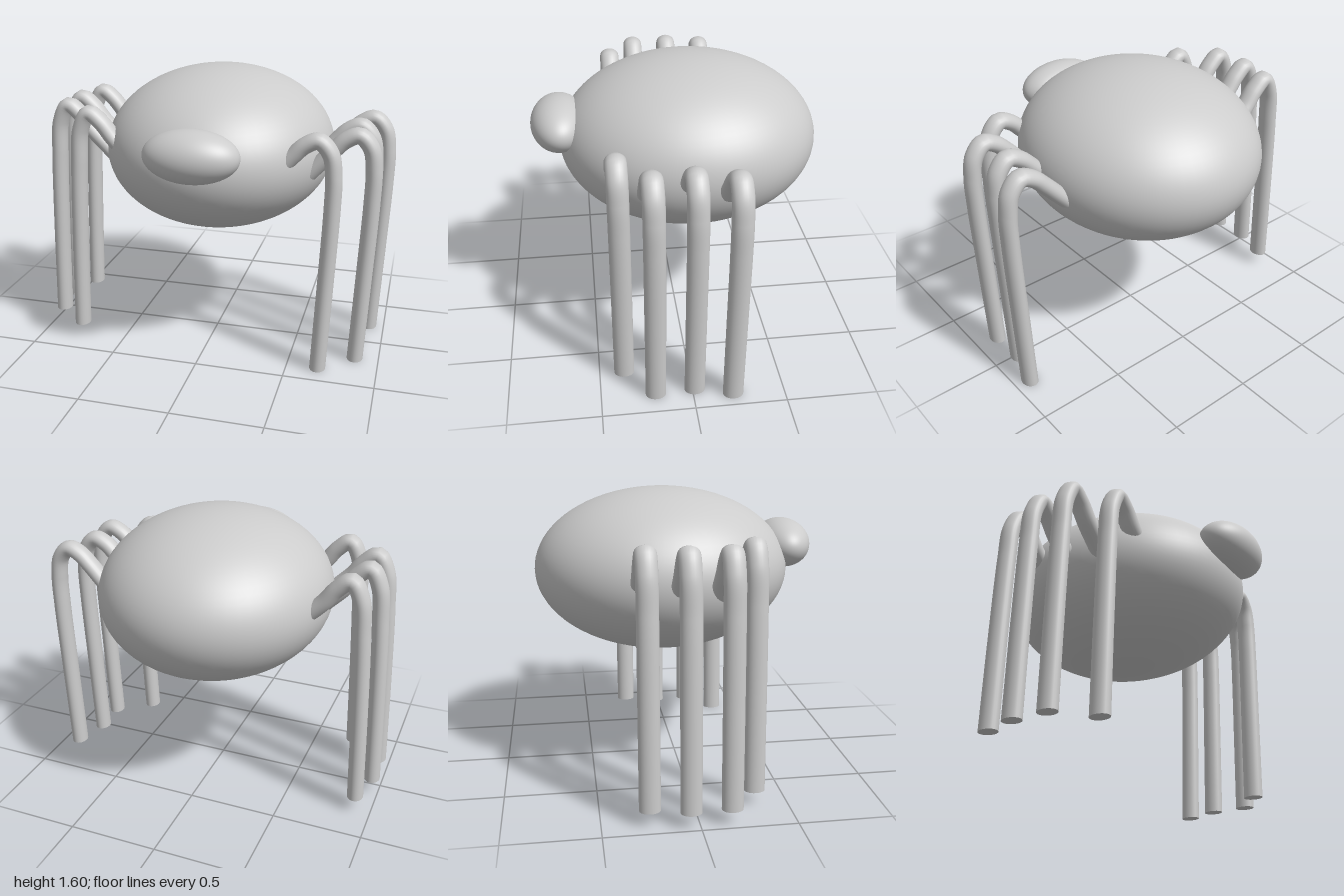
import * as THREE from 'three';

const material = new THREE.MeshStandardMaterial({ color: 0xcccccc });

function ellipsoid(name, center, radii) {
  const mesh = new THREE.Mesh(new THREE.SphereGeometry(1, 64, 40), material);
  mesh.name = name;
  mesh.scale.set(...radii);
  mesh.position.set(...center);
  return mesh;
}

// A bent leg: tube along the [x, y] path, slightly wider in z, with a flat foot
function leg(name, path, side, offset, z) {
  const group = new THREE.Group();
  group.name = name;
  const points = path.map(([x, y]) => new THREE.Vector3(side * x, y, 0));
  const radius = 0.045, stretch = 1.25, sides = 24;
  const geometry = new THREE.TubeGeometry(new THREE.CatmullRomCurve3(points), 90, radius, sides);
  geometry.scale(1, 1, stretch);
  // Level the foot ring
  const position = geometry.attributes.position;
  for (let i = 0; i <= sides; i++) position.setY(i, path[0][1]);
  const shaft = new THREE.Mesh(geometry, material);
  shaft.name = 'legShaft';

  const sole = new THREE.Mesh(new THREE.CircleGeometry(radius, sides), material);
  sole.name = 'footSole';
  sole.rotation.x = Math.PI / 2;
  sole.scale.y = stretch;
  sole.position.copy(points[0]);

  group.add(shaft, sole);
  group.position.set(side * offset, 0, z);
  return group;
}

export function createModel() {
  const model = new THREE.Group();
  model.name = 'spider';
  model.add(ellipsoid('body', [0.005, 1.148, -0.075], [0.65, 0.455, 0.72]));
  model.add(ellipsoid('head', [0.027, 1.266, 0.64], [0.254, 0.14, 0.155]));

  // Leg paths from foot to hip; the hips end inside the body
  const leftPath = [[0.673, 0], [0.695, 0.5], [0.713, 0.95], [0.713, 1.13], [0.692, 1.25],
    [0.63, 1.314], [0.56, 1.287], [0.5, 1.23], [0.44, 1.165], [0.37, 1.09]];
  const rightPath = [[0.757, 0.08], [0.742, 0.6], [0.722, 1.08], [0.703, 1.28],
    [0.65, 1.374], [0.58, 1.327], [0.51, 1.24], [0.43, 1.16], [0.35, 1.08]];

  // [sideways offset, z] of each leg, front to back
  const leftLegs = [[0, 0.362], [0.193, 0.202], [0.182, -0.013], [0.238, -0.217]];
  const rightLegs = [[0, 0.322], [0.19, 0.165], [0.198, -0.048], [0.147, -0.252]];
  leftLegs.forEach(([offset, z], i) => model.add(leg(`leftLeg${i + 1}`, leftPath, 1, offset, z)));
  rightLegs.forEach(([offset, z], i) => model.add(leg(`rightLeg${i + 1}`, rightPath, -1, offset, z)));
  return model;
}
